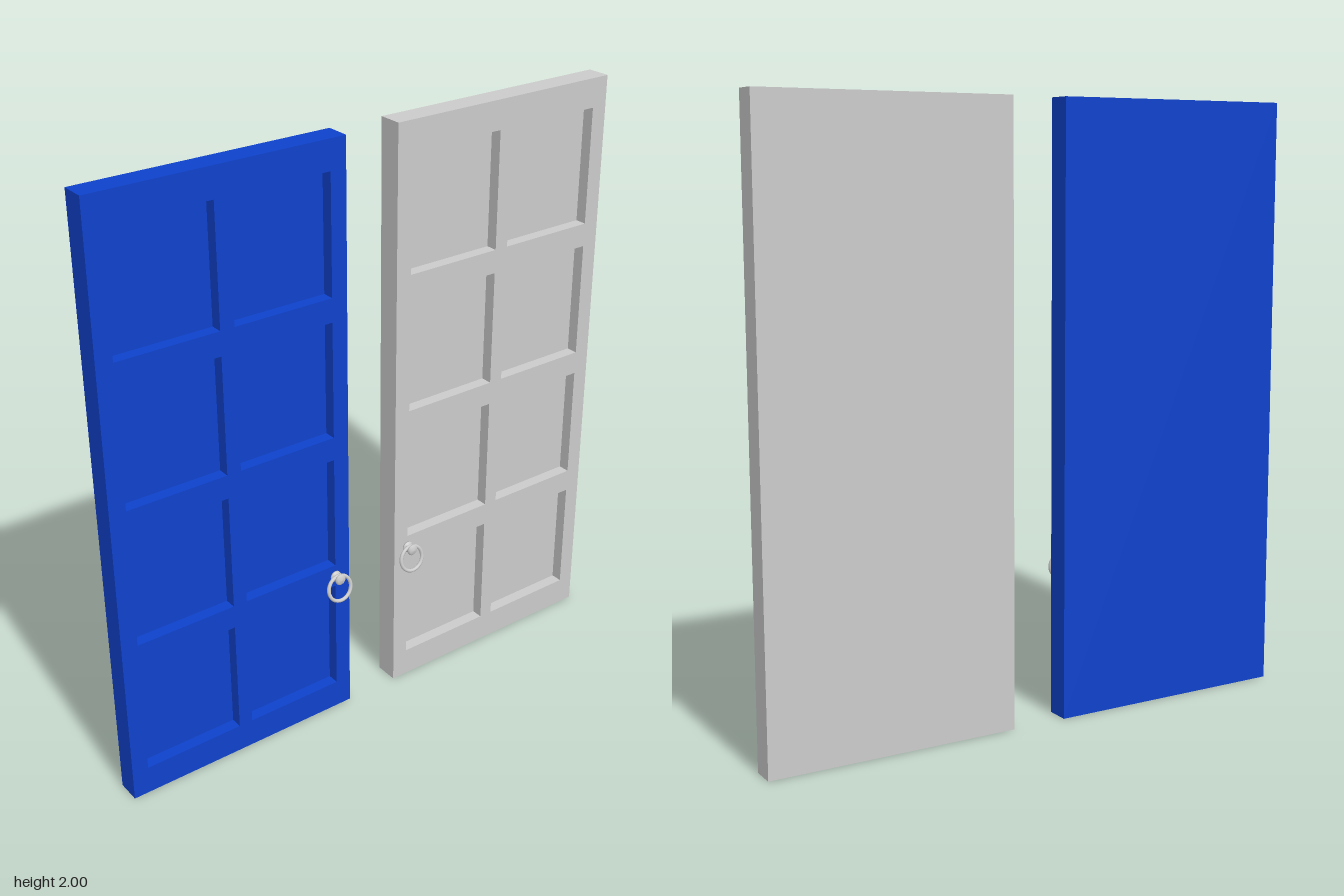
import * as THREE from 'three';

const WIDTH = 0.842, HEIGHT = 2, BACK = -0.06, MID = -0.02, FACE = 0.02;
const PANEL_W = 0.342, PANEL_H = 0.392, PITCH_Y = 0.4715, CENTRE_Z = 0.515;

function rectangle(path, cx, cy, w, h) {
  path.moveTo(cx - w / 2, cy - h / 2);
  path.lineTo(cx + w / 2, cy - h / 2);
  path.lineTo(cx + w / 2, cy + h / 2);
  path.lineTo(cx - w / 2, cy + h / 2);
  path.closePath();
  return path;
}

function part(name, geometry, material, parent) {
  const mesh = new THREE.Mesh(geometry, material);
  mesh.name = name;
  parent.add(mesh);
  return mesh;
}

// Door leaf: solid back slab plus a front frame pierced by 2 x 4 recesses
function makeLeaf(material) {
  const leaf = new THREE.Group();
  const slab = part('backSlab', new THREE.BoxGeometry(MID - BACK, HEIGHT, WIDTH), material, leaf);
  slab.position.set((BACK + MID) / 2, HEIGHT / 2, 0);

  const outline = rectangle(new THREE.Shape(), 0, HEIGHT / 2, WIDTH, HEIGHT);
  for (const side of [-1, 1]) {
    for (let row = 0; row < 4; row++) {
      const y = HEIGHT / 2 + (row - 1.5) * PITCH_Y;
      outline.holes.push(rectangle(new THREE.Path(), side * 0.195, y, PANEL_W, PANEL_H));
    }
  }
  const frame = part('panelFrame',
    new THREE.ExtrudeGeometry(outline, { depth: FACE - MID, bevelEnabled: false }), material, leaf);
  frame.rotation.y = Math.PI / 2;
  frame.position.x = MID;
  return leaf;
}

// Pull handle: turned stud with a ring hanging slightly outwards
function makeHandle(material) {
  const handle = new THREE.Group();
  const profile = [[0, 0], [0.019, 0], [0.019, 0.005], [0.012, 0.008], [0.012, 0.02],
    [0.018, 0.024], [0.019, 0.03], [0.014, 0.035], [0, 0.037]]
    .map(([r, h]) => new THREE.Vector2(r, h));
  const stud = part('stud', new THREE.LatheGeometry(profile, 20), material, handle);
  stud.rotation.z = -Math.PI / 2;
  stud.position.set(FACE, 0.527, 0);

  const tilt = new THREE.Group();
  tilt.name = 'ringPivot';
  tilt.position.set(0.044, 0.492, 0);
  tilt.rotation.z = 0.2;
  const ring = part('ring', new THREE.TorusGeometry(0.0435, 0.0062, 10, 36), material, tilt);
  ring.rotation.y = Math.PI / 2;
  handle.add(tilt);
  return handle;
}

export function createModel() {
  const model = new THREE.Group();
  model.name = 'doubleDoors';
  const grey = new THREE.MeshStandardMaterial({ color: 0xcccccc });
  const blue = new THREE.MeshStandardMaterial({ color: 0x0f42cc });

  for (const [side, label, material] of [[1, 'blue', blue], [-1, 'grey', grey]]) {
    const leaf = makeLeaf(material);
    leaf.name = label + 'DoorLeaf';
    leaf.position.z = side * CENTRE_Z;
    const handle = makeHandle(grey);
    handle.name = label + 'DoorHandle';
    handle.position.z = side * 0.149;
    model.add(leaf, handle);
  }
  return model;
}
